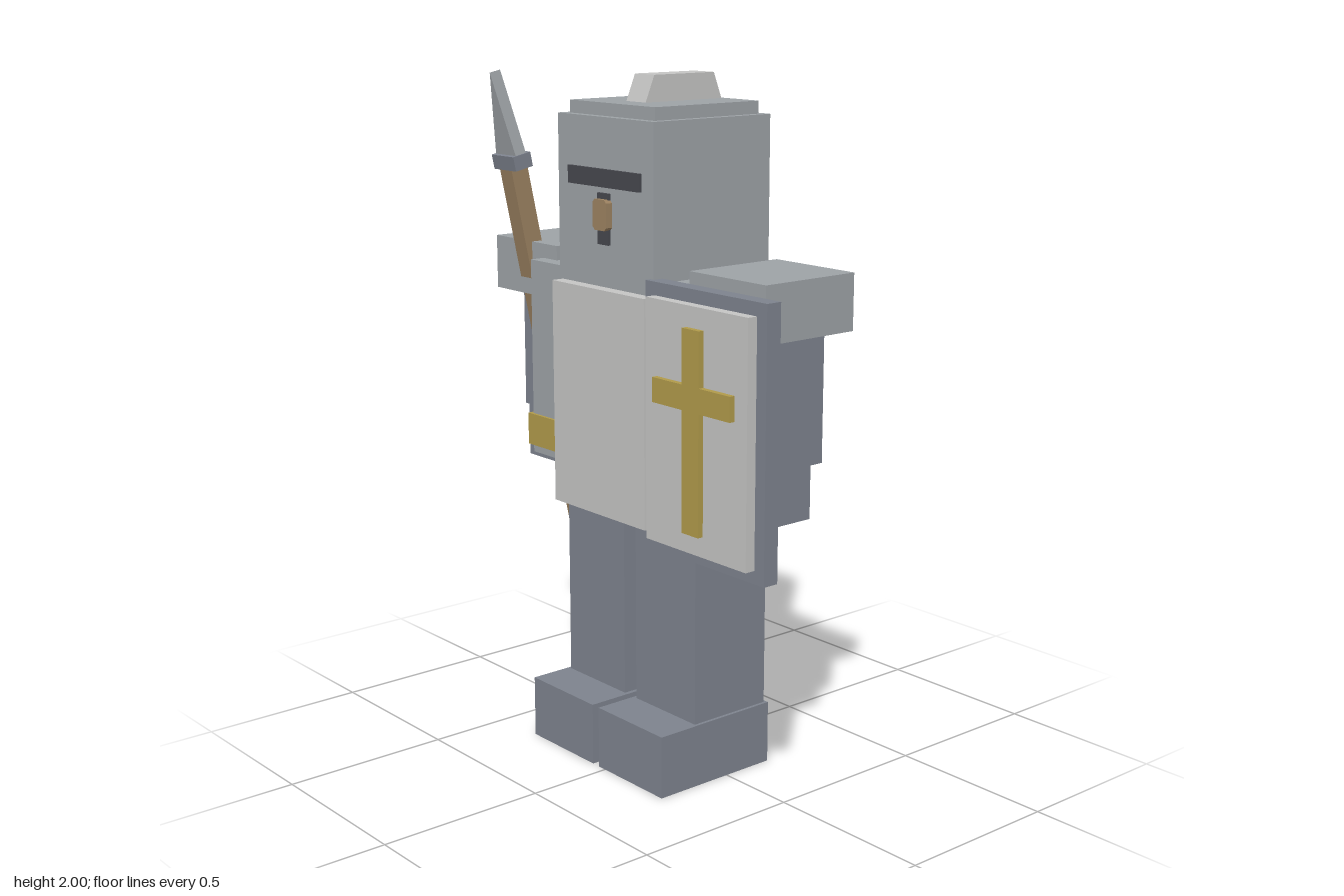
import * as THREE from 'three';

const mat = (name, color) => {
  const m = new THREE.MeshStandardMaterial({ color });
  m.name = name;
  return m;
};

export function createModel() {
  const steel = mat('steel', 0x9da2a6);
  const darkSteel = mat('dark steel', 0x7d828d);
  const cloth = mat('pale cloth', 0xc4c4c3);
  const gold = mat('gold', 0xb09a4a);
  const wood = mat('tan', 0x9c8261);
  const dark = mat('slit dark', 0x47484e);

  const model = new THREE.Group();
  model.name = 'knight';
  const MID = -0.042; // body centre line, offset by the shield

  const group = (name, parent = model) => {
    const g = new THREE.Group();
    g.name = name;
    parent.add(g);
    return g;
  };
  // Box given by its min/max on each axis
  const box = (name, material, [x0, x1], [y0, y1], [z0, z1], parent = model) => {
    const mesh = new THREE.Mesh(new THREE.BoxGeometry(x1 - x0, y1 - y0, z1 - z0), material);
    mesh.position.set((x0 + x1) / 2, (y0 + y1) / 2, (z0 + z1) / 2);
    mesh.name = name;
    parent.add(mesh);
    return mesh;
  };
  // Outline of points extruded along z, centred in depth
  const prism = (name, material, points, depth, parent = model) => {
    const shape = new THREE.Shape(points.map(([x, y]) => new THREE.Vector2(x, y)));
    const geo = new THREE.ExtrudeGeometry(shape, { depth, bevelEnabled: false });
    geo.translate(0, 0, -depth / 2);
    const mesh = new THREE.Mesh(geo, material);
    mesh.name = name;
    parent.add(mesh);
    return mesh;
  };

  // Legs and arms, mirrored about the body centre line
  for (const side of [-1, 1]) {
    const label = side < 0 ? 'right' : 'left';
    const span = (a, b) => (side < 0 ? [MID - b, MID - a] : [MID + a, MID + b]);
    const leg = group(label + 'Leg');
    box('shin', darkSteel, span(0.027, 0.291), [0.185, 0.88], [-0.153, 0.115], leg);
    box('foot', darkSteel, span(0.014, 0.301), [0, 0.185], [-0.161, 0.247], leg);
    const arm = group(label + 'Arm');
    box('shoulderPlate', steel, span(0.296, 0.597), [1.338, 1.497], [-0.177, 0.144], arm);
    box('upperArm', darkSteel, span(0.36, 0.552), [0.973, 1.34], [-0.114, 0.079], arm);
    box('forearm', darkSteel, span(0.36, 0.536), [0.815, 0.973], [-0.087, 0.078], arm);
  }

  // Torso with belt and tabard
  box('torso', steel, [-0.403, 0.321], [0.875, 1.455], [-0.221, 0.19]);
  box('belt', gold, [-0.417, 0.333], [0.898, 0.993], [-0.236, 0.199]);
  box('frontTabard', cloth, [-0.248, 0.163], [0.766, 1.418], [0.185, 0.228]);
  box('backTabard', cloth, [-0.248, 0.163], [0.633, 1.405], [-0.264, -0.229]);

  // Helmet
  const helmet = group('helmet');
  box('helmetBody', steel, [-0.252, 0.168], [1.452, 1.89], [-0.226, 0.197], helmet);
  box('helmetCap', steel, [-0.229, 0.144], [1.89, 1.926], [-0.203, 0.172], helmet);
  box('visorSlit', dark, [-0.198, 0.117], [1.699, 1.749], [0.197, 0.206], helmet);
  box('mouthSlot', dark, [-0.066, -0.018], [1.54, 1.683], [0.197, 0.206], helmet);

  // Nose: chamfered block
  const w = 0.03, h = 0.043, c = 0.009;
  const nose = prism('nose', wood, [
    [-w + c, -h], [w - c, -h], [w, -h + c], [w, h - c],
    [w - c, h], [-w + c, h], [-w, h - c], [-w, -h + c],
  ], 0.022, helmet);
  nose.position.set(-0.041, 1.624, 0.207);

  // Crest: trapezoid in side profile
  const crest = prism('crest', cloth,
    [[-0.086, 1.926], [0.192, 1.926], [0.163, 2], [-0.055, 2]], 0.084, helmet);
  crest.rotation.y = Math.PI / 2; // profile x runs towards the back
  crest.position.x = -0.041;

  // Shield with face panel and cross
  const shield = group('shield');
  box('shieldRim', darkSteel, [0.153, 0.635], [0.718, 1.468], [0.166, 0.214], shield);
  box('shieldFace', cloth, [0.192, 0.598], [0.755, 1.431], [0.214, 0.245], shield);
  const cx = 0.394, v = 0.034, arm = 0.156;
  const cross = prism('shieldCross', gold, [
    [cx - v, 0.813], [cx + v, 0.813], [cx + v, 1.152], [cx + arm, 1.152],
    [cx + arm, 1.221], [cx + v, 1.221], [cx + v, 1.373], [cx - v, 1.373],
    [cx - v, 1.221], [cx - arm, 1.221], [cx - arm, 1.152], [cx - v, 1.152],
  ], 0.017, shield);
  cross.position.z = 0.2535;

  // Spear, leaning forward through the right hand
  const spear = group('spear');
  spear.position.set(-0.488, 1.497, 0.138);
  spear.rotation.x = 0.21;
  box('spearShaft', wood, [-0.029, 0.029], [-0.998, 0.23], [-0.029, 0.029], spear);
  box('spearCollar', darkSteel, [-0.054, 0.054], [0.224, 0.267], [-0.031, 0.031], spear);
  prism('spearBlade', steel, [[-0.049, 0.267], [0.049, 0.267], [0, 0.51]], 0.037, spear);

  return model;
}
